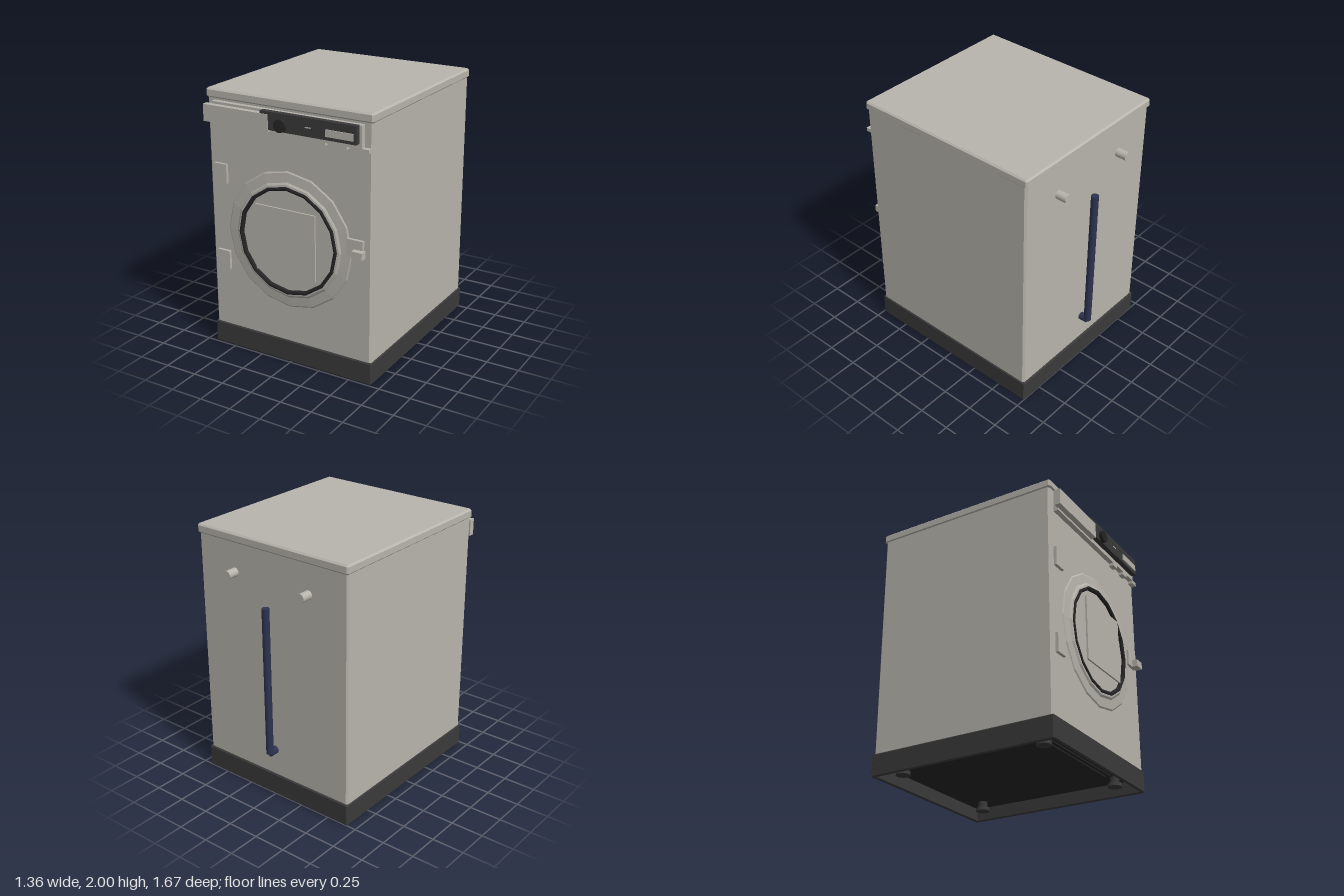
import * as THREE from 'three';

export function createModel() {
  const root = new THREE.Group();
  root.name = 'washingMachine';
  const mat = (name, color) => {
    const m = new THREE.MeshStandardMaterial({ color });
    m.name = name;
    return m;
  };
  const grey = mat('warmGrey', 0xb8b5ad);
  const dark = mat('charcoal', 0x3a3a3a);
  const black = mat('nearBlack', 0x262626);
  const navy = mat('navy', 0x2d3350);

  const add = (name, geo, m, x = 0, y = 0, z = 0) => {
    const mesh = new THREE.Mesh(geo, m);
    mesh.name = name;
    mesh.position.set(x, y, z);
    root.add(mesh);
    return mesh;
  };
  // Plain box given by its limits
  const box = (name, m, [x0, x1], [y0, y1], [z0, z1]) => add(name,
    new THREE.BoxGeometry(x1 - x0, y1 - y0, z1 - z0), m, (x0 + x1) / 2, (y0 + y1) / 2, (z0 + z1) / 2);
  // Box with chamfered edges; a wall thickness makes it an open frame
  const chamferBox = (name, m, [x0, x1], [y0, y1], [z0, z1], c, wall = 0) => {
    const [a, b] = [-z1, -z0];
    const shape = new THREE.Shape();
    shape.moveTo(x0 + c, a).lineTo(x1 - c, a).lineTo(x1, a + c).lineTo(x1, b - c);
    shape.lineTo(x1 - c, b).lineTo(x0 + c, b).lineTo(x0, b - c).lineTo(x0, a + c).closePath();
    if (wall) {
      const hole = new THREE.Path();
      hole.moveTo(x0 + wall, a + wall).lineTo(x0 + wall, b - wall);
      hole.lineTo(x1 - wall, b - wall).lineTo(x1 - wall, a + wall).closePath();
      shape.holes.push(hole);
    }
    const geo = new THREE.ExtrudeGeometry(shape, {
      depth: y1 - y0 - 2 * c, bevelSize: c, bevelThickness: c, bevelOffset: -c, bevelSegments: 1,
    });
    return add(name, geo.rotateX(-Math.PI / 2), m, 0, y0 + c, 0);
  };
  // Cylinder lying along z
  const rod = (name, m, r, x, y, z0, z1, sides = 16) => {
    const geo = new THREE.CylinderGeometry(r, r, z1 - z0, sides).rotateX(Math.PI / 2);
    return add(name, geo, m, x, y, (z0 + z1) / 2);
  };
  // Faceted ring facing +z, turned from a profile of [radius, z] points
  const ring = (name, m, profile) => {
    const pts = profile.map(([r, z]) => new THREE.Vector2(r, z));
    const geo = new THREE.LatheGeometry(pts, 16).rotateX(Math.PI / 2).toNonIndexed();
    geo.computeVertexNormals();
    return add(name, geo, m, 0, 0.97, 0);
  };

  // Cabinet and lid
  chamferBox('cabinet', grey, [-0.672, 0.672], [0.12, 1.95], [-0.742, 0.732], 0.014);
  chamferBox('lid', grey, [-0.68, 0.68], [1.93, 2], [-0.755, 0.742], 0.012);

  // Hollow plinth with a recessed, ribbed underside
  chamferBox('plinth', dark, [-0.68, 0.68], [0, 0.172], [-0.755, 0.742], 0.008, 0.025);
  box('underside', black, [-0.662, 0.662], [0.105, 0.125], [-0.737, 0.722]);
  for (let i = 0; i < 5; i++) {
    const z = 0.52 + i * 0.04;
    box('undersideRib', black, [-0.45, 0.45], [0.095, 0.106], [z, z + 0.015]);
  }

  // Levelling feet
  for (const x of [-0.52, 0.52]) {
    for (const z of [-0.59, 0.575]) {
      add('footStem', new THREE.CylinderGeometry(0.035, 0.035, 0.06, 12), dark, x, 0.08, z);
      add('footPad', new THREE.CylinderGeometry(0.05, 0.055, 0.03, 12), dark, x, 0.045, z);
    }
  }

  // Control panel
  box('panelBacking', grey, [-0.61, 0.61], [1.757, 1.918], [0.72, 0.77]);
  box('controlPanel', dark, [-0.17, 0.59], [1.79, 1.92], [0.765, 0.808]);
  box('detergentDrawer', grey, [-0.655, -0.105], [1.775, 1.9], [0.765, 0.811]);
  rod('knob', black, 0.047, 0, 1.837, 0.8, 0.833);
  box('display', grey, [0.355, 0.57], [1.815, 1.865], [0.807, 0.816]);
  box('indicator', grey, [0.195, 0.237], [1.85, 1.858], [0.806, 0.811]);
  for (const x of [0.295, 0.463, 0.632]) {
    box('button', grey, [x - 0.032, x + 0.032], [1.733, 1.76], [0.725, 0.77]);
  }

  // Round door: shallow surround, rim, dark seal and glass
  ring('doorSurround', grey, [[0.523, 0.73], [0.51, 0.739], [0.44, 0.745], [0.425, 0.755], [0.408, 0.757]]);
  ring('doorSeal', black, [[0.412, 0.735], [0.41, 0.764], [0.398, 0.768], [0.385, 0.762], [0.384, 0.735]]);
  add('doorGlass', new THREE.CircleGeometry(0.39, 16, Math.PI / 2), grey, 0, 0.97, 0.742);
  box('doorPlate', grey, [-0.25, 0.25], [0.72, 1.222], [0.775, 0.788]);

  // Hinges and latch
  for (const y of [0.708, 1.382]) {
    box('hinge', grey, [-0.622, -0.516], [y - 0.073, y + 0.073], [0.725, 0.755]);
  }
  box('latchPlate', grey, [0.485, 0.612], [0.975, 1.097], [0.725, 0.755]);
  box('latchHandle', grey, [0.547, 0.63], [0.975, 1.03], [0.745, 0.797]);

  // Water inlets and drain hose at the back
  for (const x of [-0.335, 0.335]) rod('waterInlet', grey, 0.033, x, 1.708, -0.829, -0.735);
  rod('hoseOutlet', navy, 0.03, 0, 0.382, -0.805, -0.735, 12);
  add('drainHose', new THREE.CylinderGeometry(0.028, 0.028, 1.16, 12), navy, 0, 0.96, -0.805);

  return root;
}
